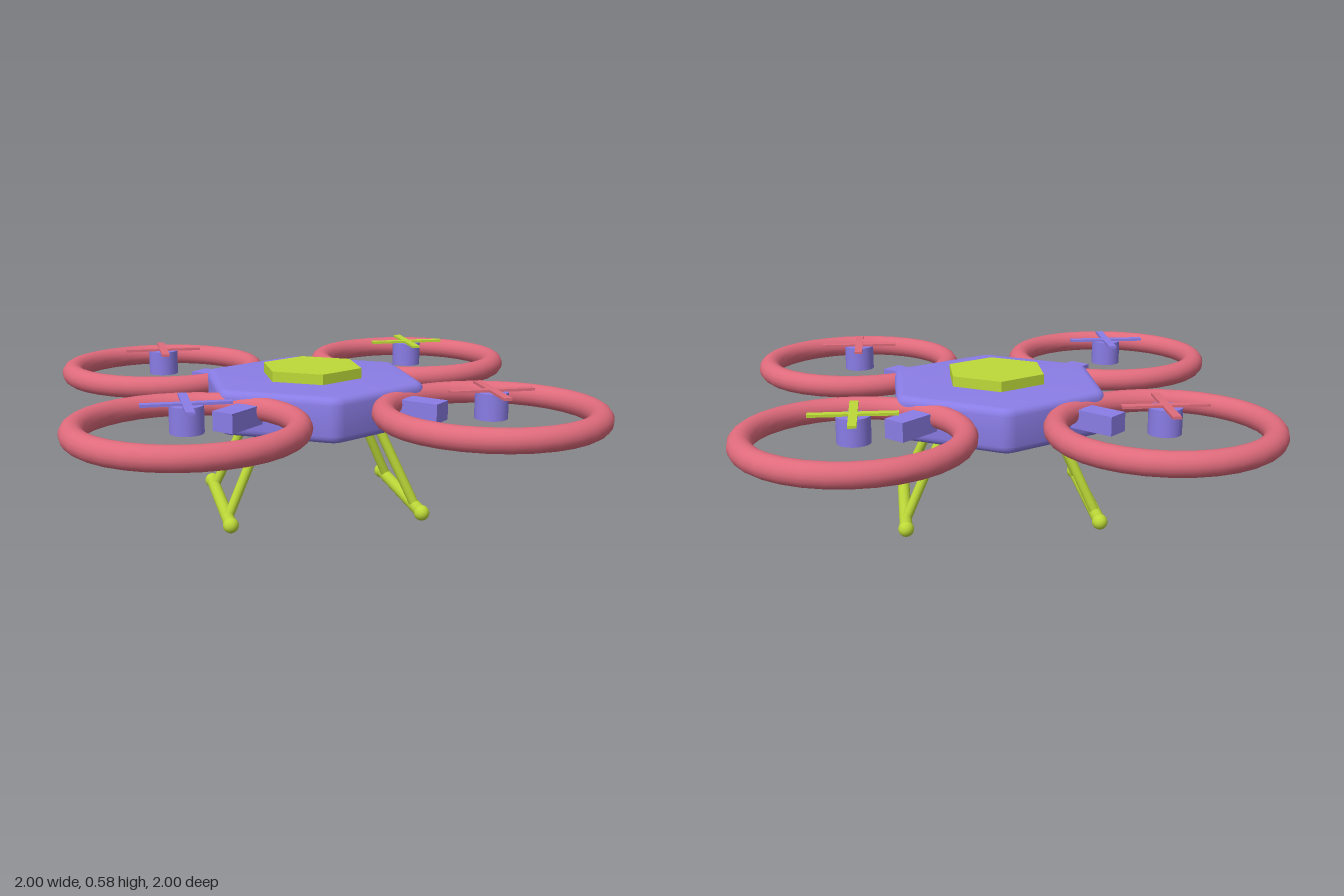
import * as THREE from 'three';
import { toCreasedNormals } from 'three/addons/utils/BufferGeometryUtils.js';

const material = (color) => new THREE.MeshStandardMaterial({ color });

export function createModel() {
  const model = new THREE.Group();
  model.name = 'quadcopter';
  const purple = material(0x8a7de6);
  const lime = material(0xbcd938);
  const red = material(0xdf6b7c);

  const add = (parent, name, geometry, mat, x = 0, y = 0, z = 0) => {
    const mesh = new THREE.Mesh(geometry, mat);
    mesh.name = name;
    mesh.position.set(x, y, z);
    parent.add(mesh);
    return mesh;
  };

  // Round rod between two points
  const addRod = (parent, name, from, to, radius, mat) => {
    const axis = to.clone().sub(from);
    const rod = add(parent, name, new THREE.CylinderGeometry(radius, radius, axis.length(), 16), mat);
    rod.position.copy(from).add(to).multiplyScalar(0.5);
    rod.quaternion.setFromUnitVectors(new THREE.Vector3(0, 1, 0), axis.normalize());
  };

  // Hexagonal body, points to front and back, softly rounded edges
  const bevel = 0.03;
  const corners = [];
  for (let i = 0; i < 6; i++) {
    const a = Math.PI / 2 + (i * Math.PI) / 3;
    corners.push(new THREE.Vector2(Math.cos(a), Math.sin(a)).multiplyScalar(0.433));
  }
  const hex = new THREE.Shape();
  corners.forEach((c, i) => {
    const start = c.clone().lerp(corners[(i + 5) % 6], 0.05);
    const end = c.clone().lerp(corners[(i + 1) % 6], 0.05);
    if (i === 0) hex.moveTo(start.x, start.y);
    else hex.lineTo(start.x, start.y);
    hex.quadraticCurveTo(c.x, c.y, end.x, end.y);
  });
  hex.closePath();
  const bodyGeometry = new THREE.ExtrudeGeometry(hex, {
    depth: 0.175 - 2 * bevel, bevelEnabled: true, bevelSize: bevel,
    bevelThickness: bevel, bevelSegments: 4, curveSegments: 4,
  });
  bodyGeometry.rotateX(-Math.PI / 2);
  add(model, 'body', toCreasedNormals(bodyGeometry, 0.6), purple, 0, 0.37 + bevel, 0);

  // Raised hexagonal cover
  const cover = toCreasedNormals(new THREE.CylinderGeometry(0.208, 0.208, 0.06, 6), 0.6);
  add(model, 'topCover', cover, lime, 0, 0.556, 0);

  // Four rotor units: arm, guard ring, motor, crossed blades
  const ringGeometry = new THREE.TorusGeometry(0.395, 0.045, 16, 32).rotateX(Math.PI / 2);
  const motorGeometry = new THREE.CylinderGeometry(0.062, 0.062, 0.1, 20);
  const rotors = [
    ['frontLeft', 1, 1, red],
    ['frontRight', -1, 1, purple],
    ['backLeft', 1, -1, lime],
    ['backRight', -1, -1, red],
  ];
  for (const [place, sx, sz, bladeMaterial] of rotors) {
    const unit = new THREE.Group();
    unit.name = place + 'Rotor';
    model.add(unit);
    const x = 0.558 * sx;
    const z = 0.558 * sz;
    const arm = add(unit, 'arm', new THREE.BoxGeometry(0.092, 0.075, 0.4), purple, 0.276 * sx, 0.466, 0.276 * sz);
    arm.rotation.y = Math.atan2(sx, sz);
    add(unit, 'guardRing', ringGeometry, red, x, 0.485, z);
    add(unit, 'motor', motorGeometry, purple, x, 0.52, z);
    add(unit, 'bladeAcross', new THREE.BoxGeometry(0.322, 0.01, 0.032), bladeMaterial, x, 0.574, z);
    add(unit, 'bladeAlong', new THREE.BoxGeometry(0.032, 0.01, 0.322), bladeMaterial, x, 0.574, z);
  }

  // Landing gear: skid tube with ball ends and two splayed struts per side
  for (const s of [1, -1]) {
    const gear = new THREE.Group();
    gear.name = s > 0 ? 'leftLandingGear' : 'rightLandingGear';
    model.add(gear);
    const x = 0.38 * s;
    const y = 0.034;
    addRod(gear, 'skid', new THREE.Vector3(x, y, -0.308), new THREE.Vector3(x, y, 0.308), 0.025, lime);
    for (const e of [1, -1]) {
      add(gear, 'skidEnd', new THREE.SphereGeometry(0.031, 16, 12), lime, x, y, 0.308 * e);
      addRod(gear, 'strut', new THREE.Vector3(0.215 * s, 0.4, 0.168 * e), new THREE.Vector3(x, y, 0.22 * e), 0.019, lime);
    }
  }
  return model;
}
